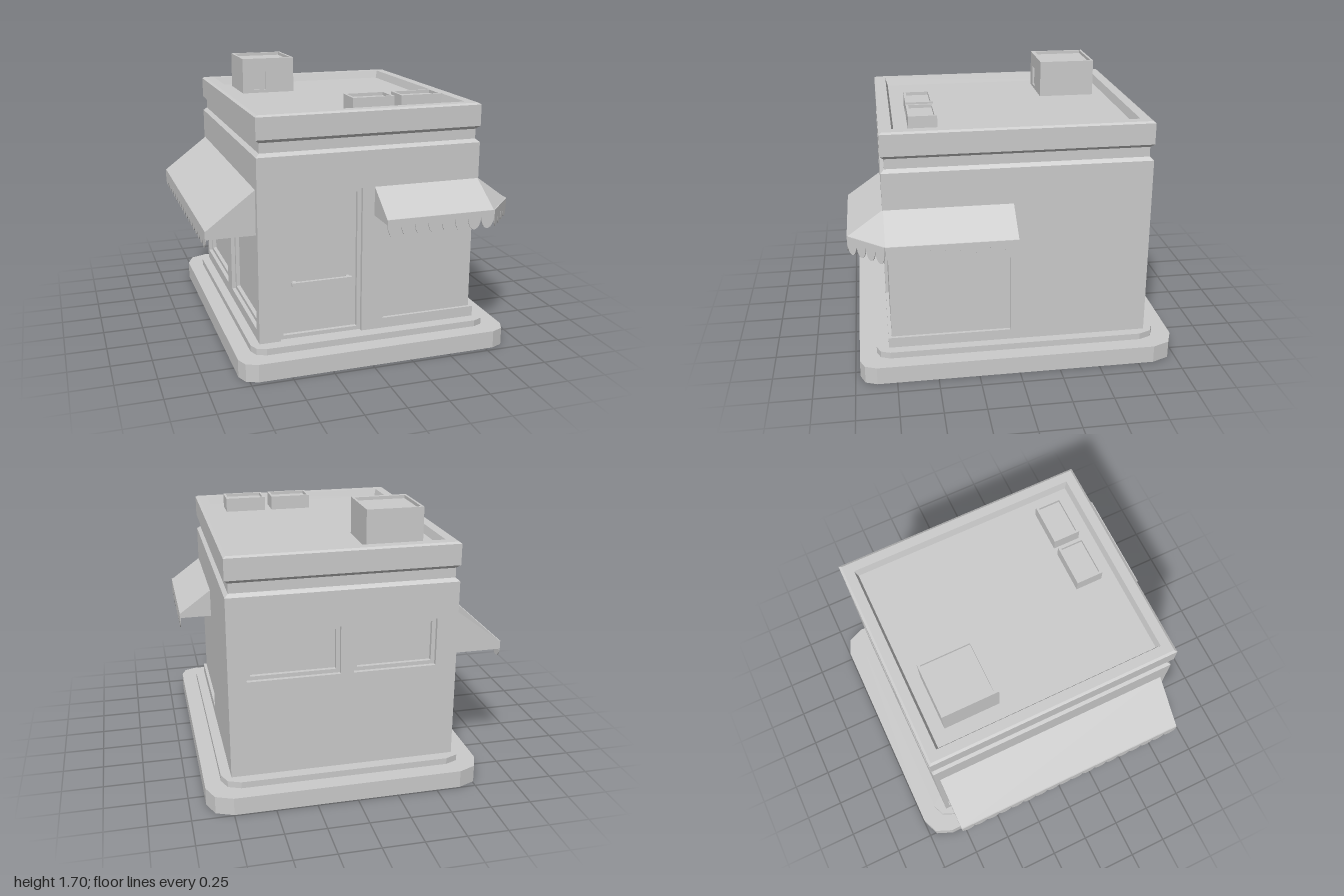
import * as THREE from 'three';

const mat = new THREE.MeshStandardMaterial({ color: 0xcccccc, flatShading: true });

function add(parent, name, geo) {
  const m = new THREE.Mesh(geo, mat);
  m.name = name;
  parent.add(m);
  return m;
}

function box(parent, name, x0, x1, y0, y1, z0, z1) {
  const m = add(parent, name, new THREE.BoxGeometry(x1 - x0, y1 - y0, z1 - z0));
  m.position.set((x0 + x1) / 2, (y0 + y1) / 2, (z0 + z1) / 2);
  return m;
}

// Skin a list of cross-sections (rings of [x, y, z]) and cap both ends
function loft(rings) {
  const pos = [], n = rings[0].length;
  const tri = (...p) => p.forEach(v => pos.push(...v));
  const centre = r => [0, 1, 2].map(i => r.reduce((s, p) => s + p[i], 0) / n);
  const first = rings[0], last = rings[rings.length - 1];
  for (let k = 0; k < n; k++) {
    const j = (k + 1) % n;
    for (let i = 0; i + 1 < rings.length; i++) {
      const a = rings[i], b = rings[i + 1];
      tri(a[k], b[k], b[j]);
      tri(a[k], b[j], a[j]);
    }
    tri(centre(first), first[k], first[j]);
    tri(centre(last), last[j], last[k]);
  }
  const g = new THREE.BufferGeometry();
  g.setAttribute('position', new THREE.Float32BufferAttribute(pos, 3));
  g.computeVertexNormals();
  return g;
}

// Horizontal rectangle ring, inset by d
const rect = ([x0, x1, z0, z1], d, y) =>
  [[x1 - d, y, z1 - d], [x0 + d, y, z1 - d], [x0 + d, y, z0 + d], [x1 - d, y, z0 + d]];

// Horizontal ring with faceted corners (front radius rf, back radius rb)
function rounded([x0, x1, z0, z1], d, y, rf, rb) {
  const pts = [];
  [[x1, z1, -1, -1, rf], [x0, z1, 1, -1, rf], [x0, z0, 1, 1, rb], [x1, z0, -1, 1, rb]]
    .forEach(([x, z, sx, sz, r], q) => {
      for (let s = 0; s < 3; s++) {
        const a = (q + s / 2) * Math.PI / 2;
        pts.push([x + sx * (r + d) + r * Math.cos(a), y, z + sz * (r + d) + r * Math.sin(a)]);
      }
    });
  return pts;
}

function polygon(points, holes = []) {
  const s = new THREE.Shape(points.map(p => new THREE.Vector2(...p)));
  for (const h of holes) s.holes.push(new THREE.Path(corners(h).map(p => new THREE.Vector2(...p))));
  return s;
}
const corners = ([a, b, c, d]) => [[a, c], [b, c], [b, d], [a, d]];
const extrude = (shape, depth, curveSegments = 6) =>
  new THREE.ExtrudeGeometry(shape, { depth, bevelEnabled: false, curveSegments });

const T = 0.05; // wall panel thickness

// One wall panel with openings, each lined with a stepped frame
function wall(parent, name, angle, dist, outline, openings) {
  const g = new THREE.Group();
  g.name = name;
  g.rotation.y = angle;
  parent.add(g);
  add(g, name + 'Panel', extrude(polygon(outline, openings), T)).position.z = dist - T;
  for (const o of openings) {
    const w = 0.024, inner = [o[0] + w, o[1] - w, o[2] + w, o[3] - w];
    add(g, 'openingFrame', extrude(polygon(corners(o), [inner]), T / 2)).position.z = dist - T;
  }
  return g;
}

// Awning body with a scalloped valance along each stretch of the eave
function awning(parent, name, wallPts, eavePts, y, counts) {
  const g = new THREE.Group();
  g.name = name;
  parent.add(g);
  add(g, name + 'Canopy', loft(wallPts.map(([wx, wz], i) => {
    const [ex, ez] = eavePts[i];
    return [[ex, y.eave, ez], [wx, y.top, wz], [wx, y.under, wz], [ex, y.under, ez]];
  })));
  counts.forEach((n, i) => {
    const [ax, az] = eavePts[i], [bx, bz] = eavePts[i + 1];
    const len = Math.hypot(bx - ax, bz - az), r = len / n / 2;
    const s = new THREE.Shape();
    s.moveTo(0, y.eave);
    s.lineTo(0, y.cusp);
    for (let k = 0; k < n; k++) s.absellipse((2 * k + 1) * r, y.cusp, r, y.cusp - y.drop, Math.PI, 2 * Math.PI);
    s.lineTo(len, y.eave);
    const v = add(g, 'valance', extrude(s, 0.006));
    v.position.set(ax, 0, az);
    v.rotation.y = Math.atan2(az - bz, bx - ax);
  });
}

export function createModel() {
  const shop = new THREE.Group();
  shop.name = 'shop';

  // Pavement with hollow underside, and the step on top of it
  const pave = [-0.8, 0.9, -0.995, 0.97], step = [-0.705, 0.8, -0.89, 0.865];
  add(shop, 'pavement', loft([
    rounded(pave, 0.07, 0.03, 0.06, 0.09), rounded(pave, 0.07, 0, 0.06, 0.09),
    rounded(pave, 0, 0, 0.1, 0.15), rounded(pave, 0, 0.11, 0.1, 0.15),
    rounded(step, 0, 0.11, 0.08, 0.11), rounded(step, 0, 0.15, 0.08, 0.11),
  ]));

  // Walls: inner core and four panels
  box(shop, 'wallCore', -0.6, 0.69, 0.1, 1.28, -0.77, 0.74);
  const y0 = 0.1, y1 = 1.28, sill = 0.215, head = 0.78;
  const front = wall(shop, 'frontWall', 0, 0.79,
    [[-0.6, y0], [0.74, y0], [0.74, sill], [0.13, sill], [0.13, head], [0.74, head], [0.74, y1], [-0.6, y1]],
    [[-0.52, -0.01, 0.15, 1.055]]);
  wall(shop, 'rightWall', Math.PI / 2, 0.74,
    [[-0.74, y0], [0.77, y0], [0.77, y1], [-0.74, y1], [-0.74, head], [-0.035, head], [-0.035, sill], [-0.74, sill]], []);
  wall(shop, 'backWall', Math.PI, 0.82, corners([-0.74, 0.6, y0, y1]),
    [[-0.63, -0.07, 0.76, 1.06], [0.01, 0.52, 0.76, 1.06]]);
  wall(shop, 'sideWindowWall', -Math.PI / 2, 0.65, corners([-0.82, 0.79, y0, y1]),
    [[-0.79, -0.09, sill, head], [0.03, 0.72, sill, head]]);

  // Glass of the corner window
  box(shop, 'cornerWindow', 0.125, 0.72, 0.205, 0.79, 0.03, 0.77);

  // Door handle
  box(front, 'handleBar', -0.445, -0.07, 0.485, 0.507, 0.765, 0.785);
  for (const x of [-0.435, -0.1]) box(front, 'handlePost', x, x + 0.02, 0.487, 0.505, 0.735, 0.77);

  // Cornice, parapet and sunken roof
  const plan = [-0.65, 0.74, -0.82, 0.79];
  const profile = [[0, 1.275], [0, 1.28], [0.022, 1.3], [0.022, 1.36], [0, 1.38], [0, 1.51], [0.015, 1.52], [0.075, 1.52], [0.09, 1.47]];
  add(shop, 'corniceAndRoof', loft(profile.map(([d, y]) => rect(plan, d, y))));

  // Rooftop boxes with recessed tops
  const roofBox = (name, plan, top) => add(shop, name,
    loft([[0, 1.46], [0, top], [0.015, top], [0.015, top - 0.02]].map(([d, y]) => rect(plan, d, y))));
  roofBox('roofUnitLeft', [0.295, 0.56, 0.445, 0.615], 1.56);
  roofBox('roofUnitRight', [-0.015, 0.25, 0.445, 0.615], 1.56);
  roofBox('roofHut', [-0.47, -0.12, -0.65, -0.307], 1.7);
  const hutFront = polygon(corners([-0.47, -0.12, 1.46, 1.7]), [[-0.395, -0.315, 1.49, 1.612]]);
  add(shop, 'roofHutFront', extrude(hutFront, 0.012)).position.z = -0.307;

  // Awnings: one wrapping the front corner, one along the window side
  awning(shop, 'cornerAwning',
    [[0.065, 0.785], [0.735, 0.785], [0.735, 0.785], [0.735, 0.02]],
    [[0.065, 0.995], [0.745, 0.995], [0.937, 0.785], [0.937, 0.02]],
    { top: 1.06, eave: 0.912, under: 0.88, cusp: 0.88, drop: 0.803 }, [8, 4, 9]);
  awning(shop, 'sideAwning', [[-0.645, -0.79], [-0.645, 0.75]], [[-0.94, -0.79], [-0.94, 0.75]],
    { top: 1.09, eave: 0.867, under: 0.815, cusp: 0.82, drop: 0.76 }, [18]);

  return shop;
}
